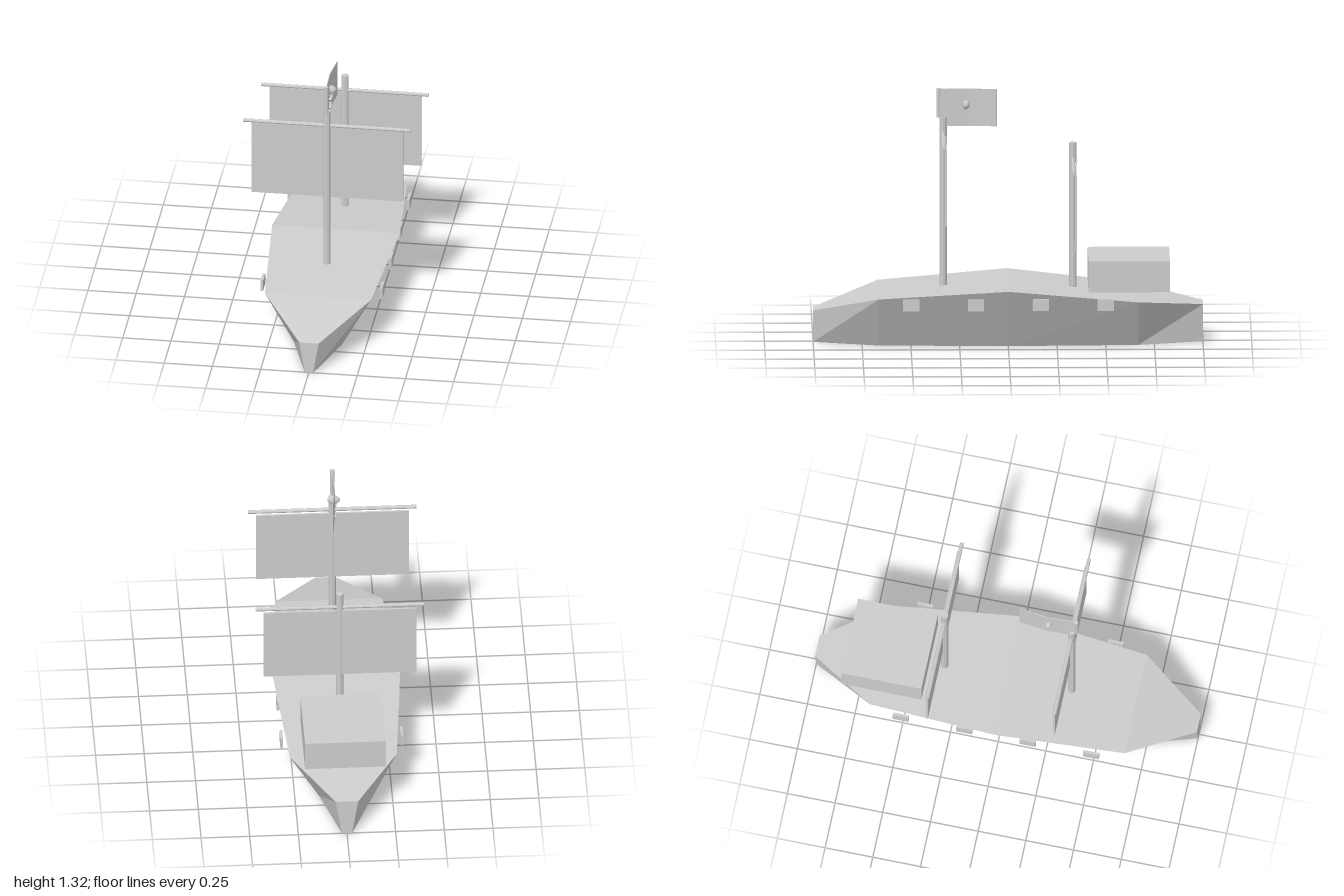
import * as THREE from 'three';

export function createModel() {
  const group = new THREE.Group();
  group.name = 'sailingShip';
  const grey = new THREE.MeshStandardMaterial({ color: 0xcccccc, flatShading: true });
  grey.name = 'light grey';

  const add = (name, geometry, x = 0, y = 0, z = 0, parent = group) => {
    const mesh = new THREE.Mesh(geometry, grey);
    mesh.name = name;
    mesh.position.set(x, y, z);
    parent.add(mesh);
    return mesh;
  };
  const box = (w, h, d) => new THREE.BoxGeometry(w, h, d);

  // Hull: four-cornered sections [z, deck half width, deck height, keel half width]
  const sections = [
    [1, 0.05, 0.17, 0.022],
    [0.667, 0.275, 0.268, 0.125],
    [0, 0.331, 0.317, 0.15],
    [-0.667, 0.275, 0.25, 0.125],
    [-1, 0.058, 0.2, 0.026],
  ].map(([z, top, h, keel]) => [[top, h, z], [-top, h, z], [-keel, 0, z], [keel, 0, z]]);
  const points = [];
  const quad = (a, b, c, d) => points.push(...a, ...b, ...c, ...a, ...c, ...d);
  for (let i = 0; i < sections.length - 1; i++) {
    const a = sections[i], b = sections[i + 1];
    for (let j = 0; j < 4; j++) {
      const k = (j + 1) % 4;
      quad(a[j], b[j], b[k], a[k]);
    }
  }
  quad(...sections[0]);
  quad(...[...sections[4]].reverse());
  const hull = new THREE.BufferGeometry();
  hull.setAttribute('position', new THREE.Float32BufferAttribute(points, 3));
  hull.computeVertexNormals();
  add('hull', hull);

  // Stern cabin
  add('cabin', box(0.416, 0.16, 0.418), -0.002, 0.37, -0.62);

  // Gun ports along both sides
  for (const side of [-1, 1]) {
    for (const z of [0.5, 0.168, -0.165, -0.498]) {
      add('gunPort', box(0.014, 0.06, 0.083), side * 0.309, 0.243, z);
    }
  }

  // Masts, each with a yard and a square sail
  const rig = (name, z, foot, top, yardY) => {
    const part = new THREE.Group();
    part.name = name;
    part.position.z = z;
    group.add(part);
    add('mast', new THREE.CylinderGeometry(0.019, 0.019, top - foot, 8), 0, (top + foot) / 2, 0, part);
    const yard = add('yard', new THREE.CylinderGeometry(0.01, 0.01, 0.866, 8), 0, yardY, 0, part);
    yard.rotation.z = Math.PI / 2;
    add('sail', box(0.786, 0.4, 0.01), 0, yardY - 0.215, -0.011, part);
  };
  rig('foreRig', 0.333, 0.29, 1.17, 1.086);
  rig('aftRig', -0.333, 0.28, 1.035, 0.951);

  // Flag pole and the folded flag
  add('flagPole', new THREE.CylinderGeometry(0.012, 0.012, 0.15, 8), -0.001, 1.243, 0.356);
  const fold = [[0, 0.352], [-0.004, 0.205], [0.014, 0.058]];
  for (let i = 0; i < 2; i++) {
    const [x0, z0] = fold[i], [x1, z1] = fold[i + 1];
    const panel = add('flagPanel', box(0.004, 0.194, Math.hypot(x1 - x0, z1 - z0)),
      (x0 + x1) / 2, 1.219, (z0 + z1) / 2);
    panel.rotation.y = Math.atan2(x1 - x0, z1 - z0);
  }

  // Skull and crossed bones standing through the flag
  const skull = add('skull', new THREE.SphereGeometry(1, 8, 6), 0, 1.232, 0.215);
  skull.scale.set(0.034, 0.024, 0.019);
  add('jaw', box(0.03, 0.022, 0.018), 0, 1.208, 0.215);
  for (const tilt of [-0.68, 0.68]) {
    const bone = add('bone', box(0.018, 0.01, 0.085), 0, 1.167, 0.215);
    bone.rotation.x = tilt;
  }

  return group;
}
